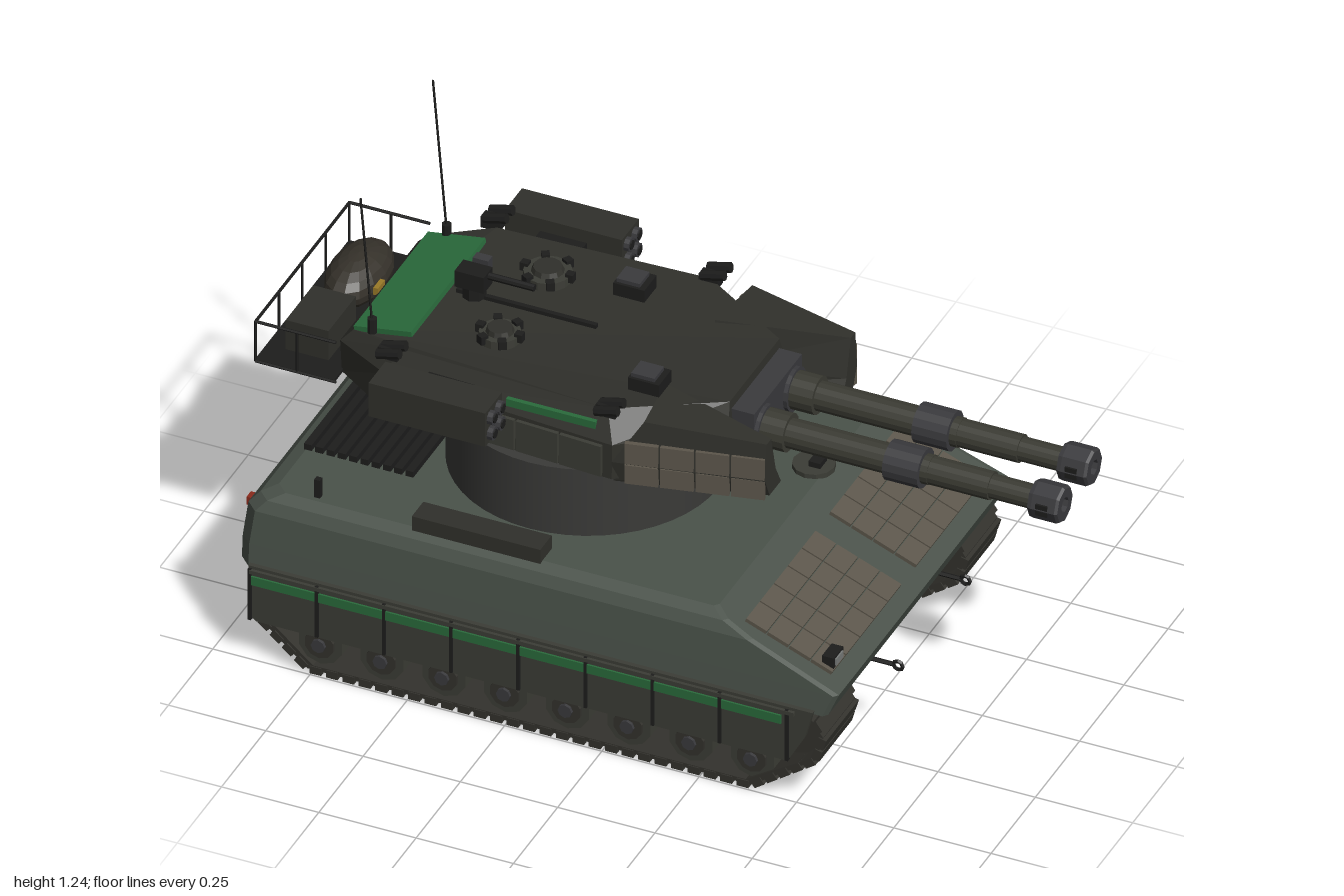
import * as THREE from 'three';

const mat = (color) => new THREE.MeshStandardMaterial({ color, flatShading: true });
const HULL = mat(0x4a524a), TURRET = mat(0x30302b), DARK = mat(0x1d1d1c), STEEL = mat(0x3a3a3d);
const TRACK = mat(0x33322d), SKIRT = mat(0x3c3d36), TILE = mat(0x5c564b), BARREL = mat(0x3b3b33);
const GREEN = mat(0x2a6b3c), RED = mat(0x8a2a1c), ROLL = mat(0x35312a), LENS = mat(0x777a78);

export function createModel() {
  const root = new THREE.Group();
  const sub = (name) => {
    const g = new THREE.Group();
    g.name = name;
    root.add(g);
    return g;
  };
  const add = (g, name, geo, m, x = 0, y = 0, z = 0) => {
    const mesh = new THREE.Mesh(geo, m);
    mesh.name = name;
    mesh.position.set(x, y, z);
    g.add(mesh);
    return mesh;
  };
  const box = (g, name, m, w, h, d, x, y, z) => add(g, name, new THREE.BoxGeometry(w, h, d), m, x, y, z);
  const cyl = (g, name, m, r, len, axis, x, y, z, sides = 12, r2 = r) => {
    const geo = new THREE.CylinderGeometry(r2, r, len, sides);
    if (axis === 'x') geo.rotateZ(-Math.PI / 2);
    if (axis === 'z') geo.rotateX(Math.PI / 2);
    return add(g, name, geo, m, x, y, z);
  };
  const rod = (g, name, m, a, b, r) => {
    const p = new THREE.Vector3(...a), q = new THREE.Vector3(...b), d = q.clone().sub(p);
    const mesh = add(g, name, new THREE.CylinderGeometry(r, r, d.length(), 5), m);
    mesh.position.copy(p).add(q).multiplyScalar(0.5);
    mesh.quaternion.setFromUnitVectors(new THREE.Vector3(0, 1, 0), d.normalize());
    return mesh;
  };
  // skin between rings of [x, y, z], lowest first, with flat caps
  const loft = (rings) => {
    const v = [], tri = (a, b, c) => v.push(...a, ...b, ...c), n = rings[0].length;
    for (let k = 0; k + 1 < rings.length; k++)
      for (let i = 0; i < n; i++) {
        const j = (i + 1) % n, a = rings[k], b = rings[k + 1];
        tri(a[i], a[j], b[j]);
        tri(a[i], b[j], b[i]);
      }
    const bot = rings[0], top = rings[rings.length - 1];
    for (let i = 1; i + 1 < n; i++) {
      tri(bot[0], bot[i + 1], bot[i]);
      tri(top[0], top[i], top[i + 1]);
    }
    const geo = new THREE.BufferGeometry();
    geo.setAttribute('position', new THREE.Float32BufferAttribute(v, 3));
    geo.computeVertexNormals();
    return geo;
  };
  // half outline [x, y, z] from rear to front, mirrored to the other side
  const mirrorRing = (half) => [...half, ...half.map(([x, y, z]) => [x, y, -z]).reverse()];
  const extrude = (pts, depth, hole) => {
    const shape = new THREE.Shape(pts.map((p) => new THREE.Vector2(...p)));
    if (hole) shape.holes.push(new THREE.Path(hole.map((p) => new THREE.Vector2(...p))));
    return new THREE.ExtrudeGeometry(shape, { depth, bevelEnabled: false }).translate(0, 0, -depth / 2);
  };

  // Hull
  const hull = sub('hull');
  const levels = [[0.265, -0.94, 0.575, 0.497], [0.325, -0.94, 0.6, 0.492], [0.415, -0.93, 0.375, 0.482],
    [0.443, -0.905, 0.305, 0.468], [0.457, -0.87, 0.27, 0.44]];
  add(hull, 'upperHull', loft(levels.map(([y, x0, x1, z]) => mirrorRing(
    [[x0, y, z - 0.03], [x0 + 0.03, y, z], [x1 - 0.01, y, z], [x1, y, z - 0.012]]))), HULL);
  add(hull, 'lowerHull', extrude([[-0.92, 0.27], [-0.92, 0.17], [-0.86, 0.112], [0.43, 0.112], [0.56, 0.27]], 0.605), DARK);
  for (let i = 0; i < 10; i++) box(hull, 'deckSlat', DARK, 0.02, 0.018, 0.52, -0.865 + i * 0.029, 0.464, 0);
  cyl(hull, 'driverHatch', SKIRT, 0.052, 0.014, 'y', 0.24, 0.462, -0.17);
  box(hull, 'driverPeriscope', DARK, 0.03, 0.015, 0.04, 0.25, 0.476, -0.17);

  for (const s of [1, -1]) {
    // glacis tiles
    for (let c = 0; c < 5; c++)
      for (let r = 0; r < 4; r++) {
        const x = 0.365 + r * 0.056;
        box(hull, 'glacisTile', TILE, 0.057, 0.012, 0.075, x, 0.419 - (x - 0.375) * 0.4, s * (0.08 + c * 0.079))
          .rotation.z = -0.38;
      }
    box(hull, 'headlight', DARK, 0.03, 0.03, 0.055, 0.545, 0.366, s * 0.395);
    box(hull, 'headlightLens', LENS, 0.006, 0.018, 0.04, 0.561, 0.366, s * 0.395);
    box(hull, 'stowageBox', TURRET, 0.33, 0.04, 0.065, -0.345, 0.475, s * 0.42);
    box(hull, 'tailLight', RED, 0.012, 0.022, 0.025, -0.938, 0.4, s * 0.42);
    box(hull, 'deckPost', DARK, 0.015, 0.055, 0.015, -0.765, 0.48, s * 0.42);
    for (const [x, d] of [[0.6, 1], [-0.94, -1]]) {
      rod(hull, 'towHookArm', DARK, [x - d * 0.08, 0.23, s * 0.19], [x + d * 0.01, 0.23, s * 0.19], 0.006);
      add(hull, 'towHook', new THREE.TorusGeometry(0.012, 0.005, 5, 8), DARK, x + d * 0.02, 0.23, s * 0.19);
    }

    // Running gear
    const gear = sub(s > 0 ? 'rightRunningGear' : 'leftRunningGear');
    const path = [[-0.76, 0.012], [0.38, 0.012], [0.545, 0.13], [0.565, 0.2], [0.53, 0.25], [-0.86, 0.25], [-0.895, 0.2], [-0.885, 0.12]];
    const mid = [-0.16, 0.13];
    const inner = path.map(([x, y]) => [x - Math.sign(x - mid[0]) * 0.014, y - Math.sign(y - mid[1]) * 0.012]);
    add(gear, 'trackBand', extrude(path, 0.18, inner), TRACK, 0, 0, s * 0.402);
    path.forEach(([x0, y0], i) => {
      const [x1, y1] = path[(i + 1) % path.length], dx = x1 - x0, dy = y1 - y0, n = Math.max(1, Math.round(Math.hypot(dx, dy) / 0.042));
      for (let k = 0; k < n; k++) {
        const t = (k + 0.5) / n;
        box(gear, 'trackLink', TRACK, 0.03, 0.02, 0.186, x0 + dx * t, y0 + dy * t, s * 0.402).rotation.z = Math.atan2(dy, dx);
      }
    });
    for (let i = 0; i < 8; i++) {
      const x = -0.73 + i * 0.1586;
      cyl(gear, 'roadWheel', SKIRT, 0.058, 0.06, 'z', x, 0.088, s * 0.455, 10);
      cyl(gear, 'innerRoadWheel', TRACK, 0.058, 0.05, 'z', x, 0.088, s * 0.35, 10);
      cyl(gear, 'wheelRim', TRACK, 0.038, 0.012, 'z', x, 0.088, s * 0.487, 10);
      cyl(gear, 'wheelHub', STEEL, 0.018, 0.02, 'z', x, 0.088, s * 0.491, 8);
    }
    cyl(gear, 'driveSprocket', TRACK, 0.058, 0.15, 'z', 0.49, 0.185, s * 0.402, 12);
    cyl(gear, 'rearIdler', TRACK, 0.055, 0.15, 'z', -0.825, 0.175, s * 0.402, 12);

    // side skirt panels
    add(gear, 'sideSkirt', extrude([[-0.905, 0.275], [-0.905, 0.135], [-0.885, 0.12], [0.48, 0.12], [0.525, 0.2], [0.545, 0.275]], 0.012), SKIRT, 0, 0, s * 0.502);
    box(gear, 'skirtStripe', GREEN, 1.37, 0.024, 0.006, -0.22, 0.236, s * 0.51);
    for (let i = 0; i < 9; i++) box(gear, 'skirtSeam', DARK, 0.008, 0.145, 0.012, -0.9 + i * 0.1725, 0.196, s * 0.508);
    box(gear, 'skirtRail', SKIRT, 1.4, 0.01, 0.012, -0.2, 0.262, s * 0.51);
  }

  // Turret
  const turret = sub('turret');
  cyl(turret, 'turretRing', STEEL, 0.335, 0.2, 'y', -0.262, 0.546, 0, 48).material = new THREE.MeshStandardMaterial({ color: 0x3a3a38 });
  add(turret, 'turretBody', loft([
    mirrorRing([[-0.75, 0.655, 0.17], [-0.58, 0.635, 0.24], [-0.05, 0.635, 0.27], [0.15, 0.65, 0.14]]),
    mirrorRing([[-0.8, 0.67, 0.21], [-0.65, 0.66, 0.3], [-0.05, 0.66, 0.335], [0.17, 0.66, 0.16]]),
    mirrorRing([[-0.8, 0.765, 0.22], [-0.65, 0.765, 0.3], [-0.05, 0.755, 0.332], [0.17, 0.76, 0.16]]),
    mirrorRing([[-0.77, 0.798, 0.21], [-0.62, 0.825, 0.27], [-0.08, 0.825, 0.29], [0.165, 0.82, 0.14]]),
  ]), TURRET);
  box(turret, 'rearRoofPanel', GREEN, 0.15, 0.014, 0.42, -0.695, 0.814, 0).rotation.z = 0.17;
  box(turret, 'rearMarker', mat(0x9a7a28), 0.012, 0.02, 0.04, -0.8, 0.775, 0);
  box(turret, 'gunMantlet', STEEL, 0.08, 0.13, 0.27, 0.185, 0.732, 0);

  for (const s of [1, -1]) {
    // wedge cheek armour
    const cheek = [
      [[0, 0.65, 0.12], [-0.05, 0.65, 0.325], [0.31, 0.655, 0.235], [0.31, 0.655, 0.17]],
      [[0, 0.71, 0.12], [-0.05, 0.71, 0.336], [0.31, 0.71, 0.26], [0.31, 0.71, 0.2]],
      [[0, 0.825, 0.14], [0.02, 0.825, 0.305], [0.31, 0.81, 0.25], [0.31, 0.81, 0.225]],
    ].map((r) => (s > 0 ? r : r.map(([x, y, z]) => [x, y, -z]).reverse()));
    add(turret, 'cheekArmour', loft(cheek), TURRET);
    for (let c = 0; c < 4; c++) {
      const x = 0.02 + c * 0.083;
      for (const [y, h] of [[0.683, 0.052], [0.742, 0.058]])
        box(turret, 'cheekTile', TILE, 0.08, h, 0.012, x, y, s * (0.322 - (x - 0.01) * 0.225)).rotation.y = s * 0.215;
    }
    for (let c = 0; c < 5; c++)
      box(turret, 'sideTile', SKIRT, 0.11, 0.085, 0.012, -0.59 + c * 0.115, 0.706, s * (0.305 + c * 0.0068)).rotation.y = -s * 0.058;
    box(turret, 'sideStripe', GREEN, 0.23, 0.02, 0.012, -0.215, 0.787, s * 0.311);

    // missile launcher pods
    box(turret, 'launcherPod', TURRET, 0.3, 0.095, 0.095, -0.48, 0.782, s * 0.386);
    box(turret, 'launcherMount', DARK, 0.12, 0.04, 0.08, -0.48, 0.775, s * 0.32);
    for (const dy of [-0.022, 0.022])
      for (const dz of [-0.022, 0.022]) {
        cyl(turret, 'launchTube', STEEL, 0.018, 0.016, 'x', -0.325, 0.782 + dy, s * 0.386 + dz, 10);
        cyl(turret, 'launchTubeBore', DARK, 0.012, 0.018, 'x', -0.323, 0.782 + dy, s * 0.386 + dz, 8);
      }
    // smoke dischargers
    for (const x of [-0.08, -0.64]) {
      box(turret, 'smokeMount', DARK, 0.05, 0.03, 0.03, x, 0.825, s * 0.29);
      for (const dz of [-0.018, 0.018])
        cyl(turret, 'smokeTube', DARK, 0.013, 0.06, 'x', x + 0.01, 0.84, s * 0.302 + dz, 8).rotation.z = 0.25;
    }
    // antennas
    cyl(turret, 'antennaBase', DARK, 0.012, 0.04, 'y', -0.722, 0.825, s * 0.21, 8);
    rod(turret, 'antenna', DARK, [-0.722, 0.83, s * 0.21], [s > 0 ? -0.752 : -0.757, s > 0 ? 1.178 : 1.245, s * 0.21], 0.003);

    // twin guns: radius, start, end
    const z = s * 0.083;
    [[0.056, 0.2, 0.235, 16], [0.048, 0.235, 0.295, 16], [0.037, 0.295, 0.66, 16], [0.05, 0.552, 0.642, 16],
      [0.035, 0.642, 0.815, 16], [0.03, 0.815, 0.93, 16]].forEach(([r, a, b, n], i) =>
      cyl(turret, 'gunBarrel', i === 0 || i === 3 ? STEEL : BARREL, r, b - a, 'x', (a + b) / 2, 0.732, z, n));
    const brake = new THREE.LatheGeometry([[0.028, 0], [0.046, 0], [0.048, 0.01], [0.048, 0.07], [0.044, 0.077], [0.02, 0.077], [0.02, 0.02], [0, 0.02]]
      .map((p) => new THREE.Vector2(...p)), 8).rotateZ(-Math.PI / 2);
    const muzzle = add(turret, 'muzzleBrake', brake, STEEL.clone(), 0.923, 0.732, z);
    muzzle.material.side = THREE.DoubleSide;
    for (const d of [1, -1]) box(turret, 'muzzlePort', DARK, 0.03, 0.03, 0.008, 0.96, 0.732, z + d * 0.043);
  }

  // Roof fittings
  for (const [z, r] of [[-0.14, 0.058], [0.13, 0.05]]) {
    cyl(turret, 'hatchRing', SKIRT, r, 0.022, 'y', -0.43, 0.832, z, 16);
    cyl(turret, 'hatchLid', TURRET, r * 0.75, 0.02, 'y', -0.43, 0.845, z, 12, r * 0.6);
    for (let i = 0; i < 6; i++) {
      const a = (i * Math.PI) / 3;
      box(turret, 'periscope', DARK, 0.02, 0.022, 0.02, -0.43 + r * Math.cos(a), 0.84, z + r * Math.sin(a)).rotation.y = -a;
    }
  }
  for (const [x, z] of [[-0.22, -0.17], [-0.03, 0.165]]) {
    box(turret, 'sightBox', DARK, 0.08, 0.034, 0.07, x, 0.842, z);
    box(turret, 'sightHood', STEEL, 0.06, 0.014, 0.055, x - 0.005, 0.862, z);
  }
  box(turret, 'roofRib', DARK, 0.36, 0.01, 0.012, -0.42, 0.828, 0);
  cyl(turret, 'weaponPedestal', DARK, 0.03, 0.04, 'y', -0.555, 0.845, 0, 8);
  box(turret, 'weaponCradle', DARK, 0.075, 0.045, 0.05, -0.555, 0.88, 0.005);
  box(turret, 'weaponSight', STEEL, 0.04, 0.03, 0.025, -0.55, 0.898, -0.035);
  cyl(turret, 'machineGun', DARK, 0.009, 0.17, 'x', -0.485, 0.89, 0, 8);

  // Bustle basket
  const basket = sub('bustleBasket'), x0 = -0.997, x1 = -0.79, w = 0.265;
  box(basket, 'basketFloor', DARK, 0.2, 0.008, 2 * w, -0.895, 0.677, 0);
  for (const y of [0.677, 0.79]) {
    rod(basket, 'rail', DARK, [x0, y, -w], [x0, y, w], 0.004);
    for (const s of [1, -1]) rod(basket, 'rail', DARK, [x0, y, s * w], [x1, y, s * w], 0.004);
  }
  for (let i = 0; i < 5; i++) rod(basket, 'upright', DARK, [x0, 0.677, -w + i * w / 2], [x0, 0.79, -w + i * w / 2], 0.0035);
  for (const s of [1, -1]) rod(basket, 'upright', DARK, [-0.89, 0.677, s * w], [-0.89, 0.79, s * w], 0.0035);
  add(basket, 'canvasRoll', new THREE.SphereGeometry(1, 14, 10).scale(0.072, 0.06, 0.125), ROLL, -0.89, 0.735, -0.085);
  box(basket, 'stowedCrate', TURRET, 0.11, 0.085, 0.155, -0.895, 0.722, 0.12);
  return root;
}
